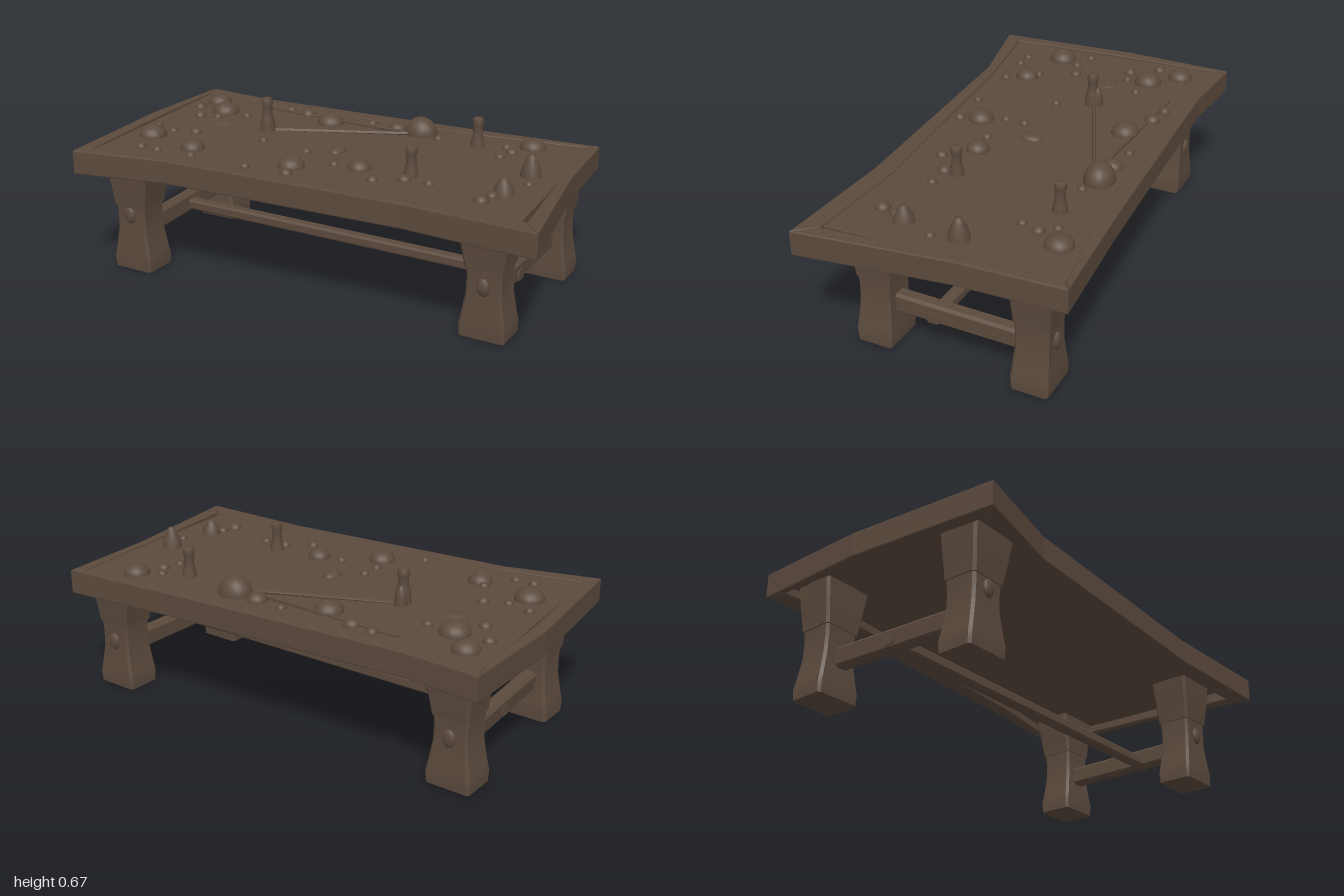
import * as THREE from 'three';
import { toCreasedNormals } from 'three/addons/utils/BufferGeometryUtils.js';

const wood = new THREE.MeshStandardMaterial({ color: 0x5b4a3d });
wood.name = 'dark brown wood';

// Height of the slightly sloping table surface
const surfaceY = (x, z) => 0.534 - 0.007 * x + 0.008 * z;

function add(parent, name, geometry, x = 0, y = 0, z = 0) {
  const mesh = new THREE.Mesh(geometry, wood);
  mesh.name = name;
  mesh.position.set(x, y, z);
  parent.add(mesh);
  return mesh;
}

// Flat board from a plan outline of [x, z] points, following the surface slope
function board(outline, bottom, top, bevel) {
  const shape = new THREE.Shape(outline.map(([x, z]) => new THREE.Vector2(x, -z)));
  const geo = new THREE.ExtrudeGeometry(shape, {
    depth: top - bottom - 2 * bevel, bevelEnabled: true, bevelThickness: bevel,
    bevelSize: bevel, bevelOffset: -bevel, bevelSegments: 2,
  });
  geo.translate(0, 0, bottom + bevel);
  geo.rotateX(-Math.PI / 2);
  const p = geo.attributes.position;
  for (let i = 0; i < p.count; i++) p.setY(i, p.getY(i) + surfaceY(p.getX(i), p.getZ(i)));
  geo.computeVertexNormals();
  return geo;
}

// Chamfered rectangular post from sections [y, halfWidth, halfDepth]
function post(sections, c = 0.01) {
  const rings = sections.map(([y, w, d]) => [
    [w, d - c], [w - c, d], [c - w, d], [-w, d - c],
    [-w, c - d], [c - w, -d], [w - c, -d], [w, c - d],
  ].map(([x, z]) => [x, y, z]));
  const v = [];
  const n = 8;
  for (let j = 0; j < rings.length - 1; j++) {
    for (let i = 0; i < n; i++) {
      const k = (i + 1) % n;
      const a = rings[j][i], b = rings[j][k], e = rings[j + 1][i], f = rings[j + 1][k];
      v.push(...a, ...e, ...b, ...b, ...e, ...f);
    }
  }
  const low = rings[0], high = rings[rings.length - 1];
  for (let i = 1; i < n - 1; i++) {
    v.push(...low[0], ...low[i], ...low[i + 1]);
    v.push(...high[0], ...high[i + 1], ...high[i]);
  }
  const geo = new THREE.BufferGeometry();
  geo.setAttribute('position', new THREE.Float32BufferAttribute(v, 3));
  geo.computeVertexNormals();
  return toCreasedNormals(geo, 0.5);
}

// Straight beam between two points
function beam(parent, name, from, to, w, d) {
  const a = new THREE.Vector3(...from), dir = new THREE.Vector3(...to).sub(a);
  const len = dir.length();
  const mesh = add(parent, name, post([[0, w, d], [len, w, d]], Math.min(w, d) * 0.35), ...from);
  mesh.quaternion.setFromUnitVectors(new THREE.Vector3(0, 1, 0), dir.normalize());
}

const lathe = (profile) =>
  new THREE.LatheGeometry(profile.map(([r, y]) => new THREE.Vector2(r, y)), 14);

export function createModel() {
  const model = new THREE.Group();
  model.name = 'table';

  // Crooked frame: matching outer and inner edges, one board per side
  const sides = {
    backRail: [[[-1, -0.5], [-0.68, -0.48], [0.38, -0.545], [0.87, -0.585]],
      [[-0.975, -0.42], [-0.67, -0.4], [0.36, -0.48], [0.82, -0.555]]],
    leftRail: [[[0.87, -0.585], [0.9, -0.16], [0.995, 0.44]],
      [[0.82, -0.555], [0.855, -0.24], [0.922, 0.36]]],
    frontRail: [[[0.995, 0.44], [0.47, 0.425], [-0.55, 0.485], [-0.93, 0.575]],
      [[0.922, 0.36], [0.47, 0.345], [-0.54, 0.44], [-0.885, 0.5]]],
    rightRail: [[[-0.93, 0.575], [-1, -0.03], [-1, -0.5]],
      [[-0.885, 0.5], [-0.945, 0], [-0.975, -0.42]]],
  };
  for (const [name, [outer, inner]] of Object.entries(sides)) {
    add(model, name, board([...outer, ...[...inner].reverse()], -0.1, 0, 0.006));
  }

  // Panel inside the frame, leaving a thin gap on one side
  add(model, 'tablePanel', board([
    [-0.975, -0.42], [-0.67, -0.4], [0.36, -0.48], [0.825, -0.555], [0.858, -0.24],
    [0.872, -0.05], [0.9, 0.36], [0.47, 0.35], [-0.54, 0.44], [-0.885, 0.5],
  ], -0.065, -0.007, 0.003));

  // Four flared legs, each with a cap block and an oval peg
  const legs = [
    ['frontLeftLeg', 0.745, 0.228, 1, 0.21], ['backLeftLeg', 0.745, -0.42, -1, 0.2],
    ['frontRightLeg', -0.78, 0.36, 1, 0.24], ['backRightLeg', -0.83, -0.315, -1, 0.2],
  ];
  for (const [name, x, z, face, pegY] of legs) {
    const leg = new THREE.Group();
    leg.name = name;
    leg.position.set(x, 0.005, z);
    model.add(leg);
    add(leg, 'legPost', post([
      [0, 0.092, 0.074], [0.045, 0.094, 0.077], [0.085, 0.086, 0.073],
      [0.17, 0.072, 0.067], [0.24, 0.07, 0.067], [0.3, 0.074, 0.07],
    ]));
    const cap = add(leg, 'legCap', post([
      [0, 0.078, 0.073], [0.03, 0.081, 0.076], [0.1, 0.092, 0.081], [0.185, 0.103, 0.086],
    ]), 0, 0.28, 0);
    cap.rotation.set(0.03 * face, 0, x > 0 ? 0.03 : -0.03);
    const peg = add(leg, 'peg', new THREE.SphereGeometry(1, 12, 8), 0, pegY, 0.068 * face);
    peg.scale.set(0.026, 0.036, 0.014);
  }

  // Stretchers between the legs
  beam(model, 'leftStretcher', [0.745, 0.172, 0.228], [0.745, 0.172, -0.42], 0.03, 0.04);
  beam(model, 'rightStretcher', [-0.78, 0.168, 0.36], [-0.83, 0.168, -0.315], 0.03, 0.04);
  beam(model, 'longStretcher', [-0.84, 0.163, 0.01], [0.78, 0.158, 0], 0.022, 0.026);

  // Domed lumps scattered on the panel: [x, z, radius]
  const lumps = [
    [-0.85, -0.33, 0.054], [-0.74, -0.22, 0.06], [-0.88, -0.22, 0.026], [-0.8, -0.11, 0.026],
    [-0.72, -0.13, 0.02], [-0.62, -0.21, 0.02], [-0.8, 0.225, 0.06], [-0.86, 0.11, 0.02],
    [-0.76, 0.135, 0.02], [-0.67, 0.1, 0.026], [-0.55, 0.285, 0.05], [-0.59, 0.245, 0.02],
    [-0.74, 0.375, 0.022], [-0.66, 0.375, 0.02], [-0.5, 0.365, 0.02], [-0.36, 0.05, 0.02],
    [-0.24, 0.365, 0.02], [-0.09, 0.267, 0.055], [-0.13, 0.17, 0.02], [-0.13, 0.085, 0.02],
    [-0.06, 0.35, 0.026], [0.045, 0.165, 0.02], [0.15, 0.15, 0.048], [0.26, 0.25, 0.025],
    [0.36, 0.18, 0.028], [0.46, 0.175, 0.02], [0.7, 0.24, 0.03], [0.715, 0.175, 0.024],
    [0.785, -0.01, 0.02], [0.635, -0.44, 0.055], [0.585, -0.335, 0.026], [0.54, -0.39, 0.02],
    [0.565, -0.26, 0.02], [0.04, -0.385, 0.042], [-0.09, -0.4, 0.02], [-0.25, -0.315, 0.058],
    [-0.4, -0.375, 0.034], [-0.5, -0.39, 0.024], [0.25, -0.35, 0.02],
  ];
  const dome = new THREE.SphereGeometry(1, 16, 8, 0, Math.PI * 2, 0, Math.PI / 2);
  for (const [x, z, r] of lumps) {
    add(model, 'lump', dome, x, surfaceY(x, z) - 0.009, z).scale.set(r, r * 0.72 + 0.006, r);
  }
  add(model, 'largeLump', dome, 0.155, 0.522, -0.38).scale.set(0.072, 0.075, 0.062);
  add(model, 'flatLump', dome, -0.65, 0.526, -0.07).scale.set(0.05, 0.014, 0.04);
  add(model, 'ovalLump', dome, -0.03, 0.526, 0.005).scale.set(0.032, 0.022, 0.05);

  // Upright stubs with rounded tops
  const stub = lathe([[0.03, 0], [0.026, 0.03], [0.021, 0.045], [0.019, 0.085],
    [0.023, 0.092], [0.023, 0.112], [0.018, 0.121], [0, 0.123]]);
  add(model, 'stub', stub, 0.36, 0.524, 0.125);
  add(model, 'stub', stub, 0.43, 0.524, -0.345);
  add(model, 'tallStub', lathe([[0.034, 0], [0.03, 0.04], [0.026, 0.065], [0.021, 0.08],
    [0.021, 0.115], [0.025, 0.122], [0.022, 0.14], [0.017, 0.148], [0, 0.15]]), -0.43, 0.524, -0.088);
  add(model, 'stubBase', dome, -0.435, 0.524, -0.11).scale.set(0.026, 0.085, 0.024);

  // Pointed mounds
  const mound = lathe([[0.042, 0], [0.036, 0.035], [0.022, 0.065], [0.015, 0.083], [0, 0.088]]);
  add(model, 'mound', mound, 0.755, 0.522, -0.11);
  add(model, 'mound', mound, 0.74, 0.522, 0.125).scale.y = 0.75;

  // Thin sticks lying on the panel
  beam(model, 'longStick', [-0.42, 0.53, -0.1], [0.13, 0.53, -0.345], 0.007, 0.007);
  beam(model, 'shortStick', [-0.6, 0.53, -0.37], [0.12, 0.53, -0.345], 0.007, 0.008);

  return model;
}
